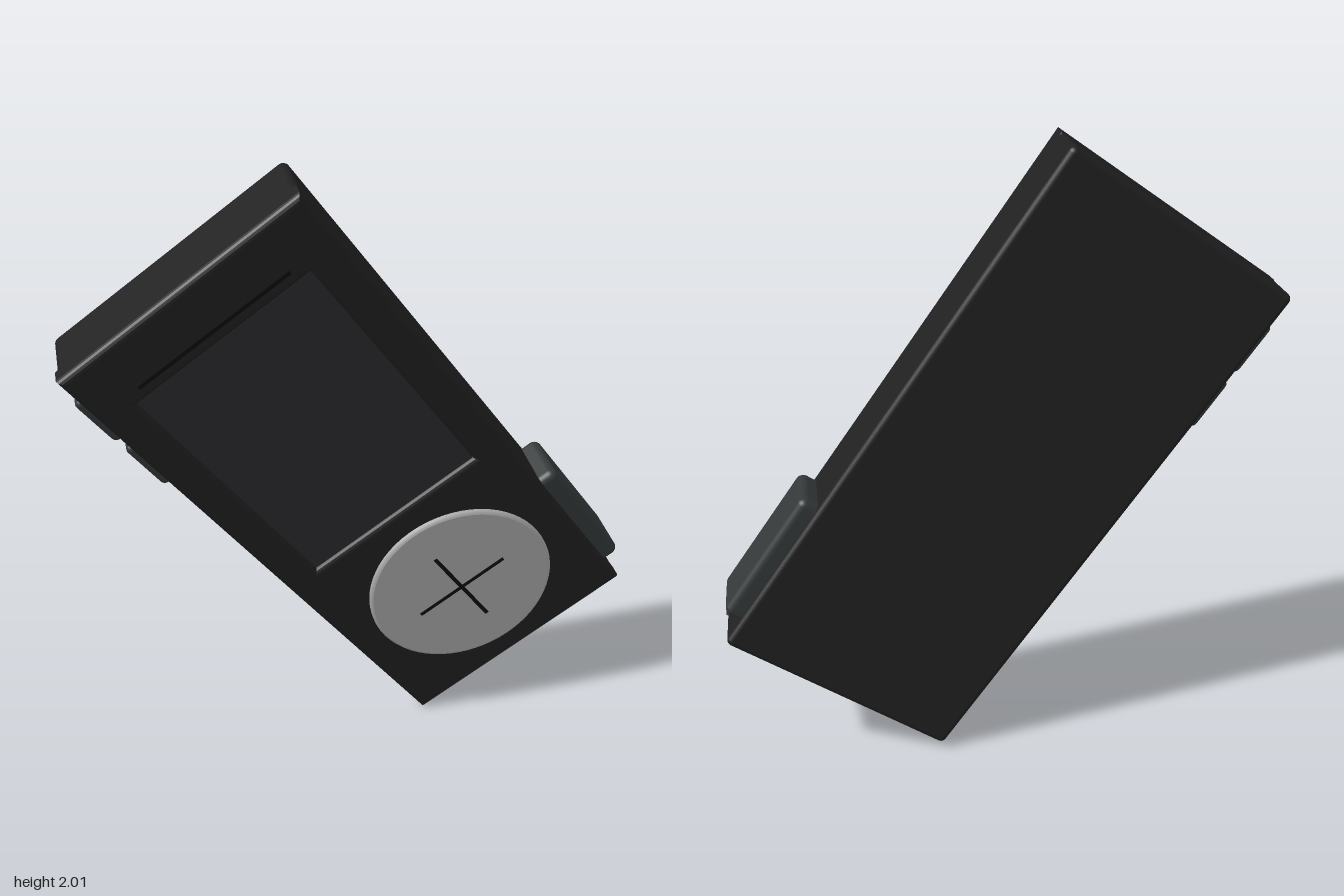
import * as THREE from 'three';
import { RoundedBoxGeometry } from 'three/addons/geometries/RoundedBoxGeometry.js';

const W = 0.835, H = 1.87, T = 0.24, R = 0.02;

const paint = (color) => new THREE.MeshStandardMaterial({ color });

function rect(Kind, w, h, cy = 0) {
  return new Kind([
    new THREE.Vector2(-w / 2, cy - h / 2), new THREE.Vector2(w / 2, cy - h / 2),
    new THREE.Vector2(w / 2, cy + h / 2), new THREE.Vector2(-w / 2, cy + h / 2),
  ]);
}

export function createModel() {
  const dark = paint(0x202020), black = paint(0x0c0c0c), glass = paint(0x2b2b2d);
  const silver = paint(0xa8a8a8), keyGrey = paint(0x343838);

  const player = new THREE.Group();
  player.name = 'player';
  const add = (name, geometry, material, x = 0, y = 0, z = 0) => {
    const mesh = new THREE.Mesh(geometry, material);
    mesh.name = name;
    mesh.position.set(x, y, z);
    player.add(mesh);
    return mesh;
  };

  // Casing, with a front plate that has a soft-edged window for the screen
  add('casing', new RoundedBoxGeometry(W, H, T - 0.02, 4, R), dark, 0, 0, -0.01);
  const plate = rect(THREE.Shape, W, H);
  plate.holes.push(rect(THREE.Path, 0.61, 0.86, 0.302));
  add('frontPlate', new THREE.ExtrudeGeometry(plate, {
    depth: 0.04, bevelEnabled: true, bevelThickness: R, bevelSize: R, bevelOffset: -R, bevelSegments: 4,
  }), dark, 0, 0, T / 2 - 0.04 - R);

  // Sunken screen and the thin slot above it
  add('screen', new THREE.BoxGeometry(0.61, 0.86, 0.02), glass, 0, 0.302, 0.096);
  add('speakerSlot', new THREE.BoxGeometry(0.53, 0.012, 0.01), black, 0, 0.775, T / 2 - 0.004);

  // Round control pad: a disc with a rounded rim and a cross on it
  const pad = new THREE.LatheGeometry([
    [0.31, 0], [0.31, 0.012], [0.307, 0.017], [0.3, 0.02], [0.3, 0.02], [0, 0.02],
  ].map(([x, y]) => new THREE.Vector2(x, y)), 64);
  pad.rotateX(Math.PI / 2);
  add('controlPad', pad, silver, 0, -0.53, T / 2 - 0.003);
  add('crossAcross', new THREE.BoxGeometry(0.335, 0.013, 0.006), black, 0, -0.53, T / 2 + 0.0155);
  add('crossUpright', new THREE.BoxGeometry(0.013, 0.335, 0.006), black, 0, -0.53, T / 2 + 0.0155);

  // Keys on the sides
  add('largeSideKey', new RoundedBoxGeometry(0.12, 0.47, 0.2, 4, 0.025), keyGrey, 0.415, -0.615, 0);
  for (const y of [0.735, 0.52]) {
    add('smallSideKey', new RoundedBoxGeometry(0.08, 0.18, 0.13, 4, 0.018), keyGrey, -0.415, y, 0);
  }

  // Tilt the whole device, leaning back and to one side
  const right = new THREE.Vector3(0.805, 0.585, -0.101).normalize();
  const front = new THREE.Vector3(0.178, -0.074, 0.98);
  const up = front.clone().cross(right).normalize();
  front.crossVectors(right, up);
  player.quaternion.setFromRotationMatrix(new THREE.Matrix4().makeBasis(right, up, front));
  player.position.y = 1;

  const model = new THREE.Group();
  model.name = 'tiltedPlayer';
  model.add(player);
  return model;
}
